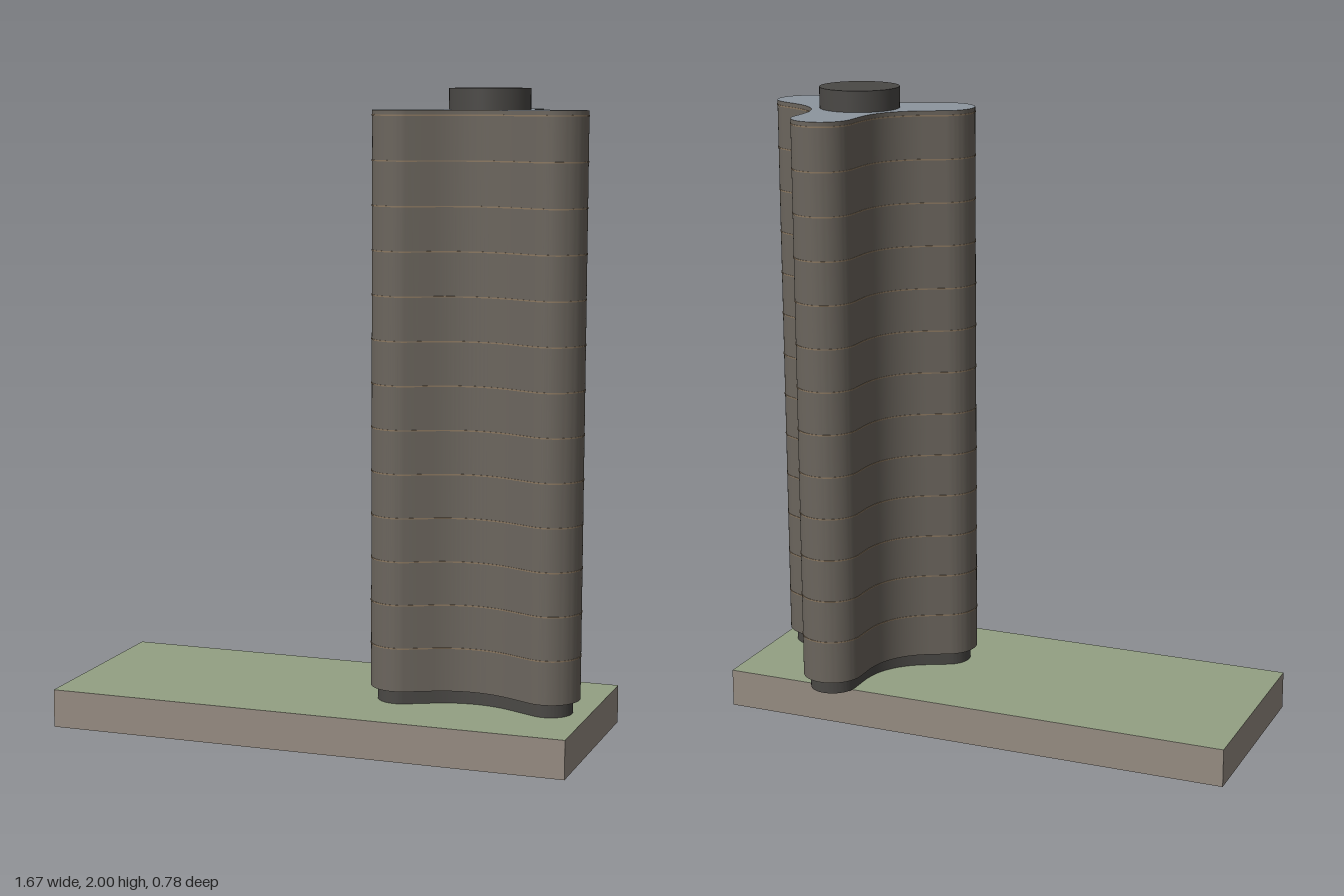
import * as THREE from 'three';
import { toCreasedNormals } from 'three/addons/utils/BufferGeometryUtils.js';

const mat = (color, side = THREE.FrontSide) => new THREE.MeshStandardMaterial({ color, side });

// Three-armed footprint in (x, -z): rounded arm ends joined by soft concave corners.
const ARMS = [
  { c: new THREE.Vector2(0.463, 0.295), a: Math.PI / 2 + 0.01 },
  { c: new THREE.Vector2(0.235, -0.078), a: Math.PI + 0.48 },
  { c: new THREE.Vector2(0.706, -0.062), a: 2 * Math.PI - 0.41 },
];
const ARM_RADIUS = 0.095;

function footprint(inset) {
  const r = ARM_RADIUS - inset, soft = 0.14;
  const dir = a => new THREE.Vector2(Math.cos(a), Math.sin(a));
  const shape = new THREE.Shape();
  ARMS.forEach((arm, i) => {
    const next = ARMS[(i + 1) % 3];
    shape.absarc(arm.c.x, arm.c.y, r, arm.a - Math.PI / 2, arm.a + Math.PI / 2, false);
    // where this arm's flank meets the flank of the next arm
    const p = arm.c.clone().addScaledVector(dir(arm.a + Math.PI / 2), r);
    const q = next.c.clone().addScaledVector(dir(next.a - Math.PI / 2), r);
    const u = dir(arm.a), v = dir(next.a);
    const t = q.clone().sub(p).cross(v) / u.cross(v);
    const corner = p.clone().addScaledVector(u, t);
    const from = corner.clone().addScaledVector(u, soft);
    const to = corner.clone().addScaledVector(v, soft);
    shape.lineTo(from.x, from.y);
    shape.quadraticCurveTo(corner.x, corner.y, to.x, to.y);
  });
  shape.closePath();
  return shape;
}

// Upright prism on the footprint between two heights
function storey(name, inset, y0, y1, materials) {
  const geo = new THREE.ExtrudeGeometry(footprint(inset), {
    depth: y1 - y0, bevelEnabled: false, curveSegments: 20,
  });
  geo.rotateX(-Math.PI / 2).translate(0, y0, 0);
  const mesh = new THREE.Mesh(toCreasedNormals(geo, 0.6), materials);
  mesh.name = name;
  return mesh;
}

export function createModel() {
  const model = new THREE.Group();
  model.name = 'towerOnSlab';
  const dark = mat(0x4a4845), facade = mat(0x6b655d), roof = mat(0x8d959e), trim = mat(0x8a7760);

  // Slab: grass top over an open-bottomed skirt, slightly out of square
  const H = 0.12;
  const corners = [[-0.82, 0.385], [0.835, 0.34], [0.825, -0.315], [-0.838, -0.28]];
  const lawnShape = new THREE.Shape(corners.map(([x, z]) => new THREE.Vector2(x, -z)));
  const lawn = new THREE.Mesh(
    new THREE.ShapeGeometry(lawnShape).rotateX(-Math.PI / 2).translate(0, H, 0),
    mat(0x93a083, THREE.DoubleSide));
  lawn.name = 'lawn';
  model.add(lawn);

  const walls = [];
  corners.forEach(([x, z], i) => {
    const [x2, z2] = corners[(i + 1) % 4];
    walls.push(x, 0, z, x2, 0, z2, x2, H, z2, x, 0, z, x2, H, z2, x, H, z);
  });
  const wallGeo = new THREE.BufferGeometry();
  wallGeo.setAttribute('position', new THREE.Float32BufferAttribute(walls, 3));
  wallGeo.computeVertexNormals();
  const skirt = new THREE.Mesh(wallGeo, mat(0x968c82, THREE.DoubleSide));
  skirt.name = 'slabSkirt';
  model.add(skirt);

  // Recessed plinth and main tower
  model.add(storey('plinth', 0.022, H + 0.001, 0.166, dark));
  model.add(storey('tower', 0, 0.165, 1.935, [roof, facade]));

  // Thin floor lines around the facade
  const floorLines = new THREE.Group();
  floorLines.name = 'floorLines';
  for (let i = 1; i <= 13; i++) {
    const y = 0.165 + i * 0.135;
    floorLines.add(storey('floorLine', -0.0015, y - 0.002, y + 0.002, trim));
  }
  model.add(floorLines);

  // Round plant room on the roof
  const cap = new THREE.Mesh(new THREE.CylinderGeometry(0.124, 0.124, 0.066, 48), dark);
  cap.name = 'roofPlantRoom';
  cap.position.set(0.468, 1.967, -0.04);
  model.add(cap);

  return model;
}
